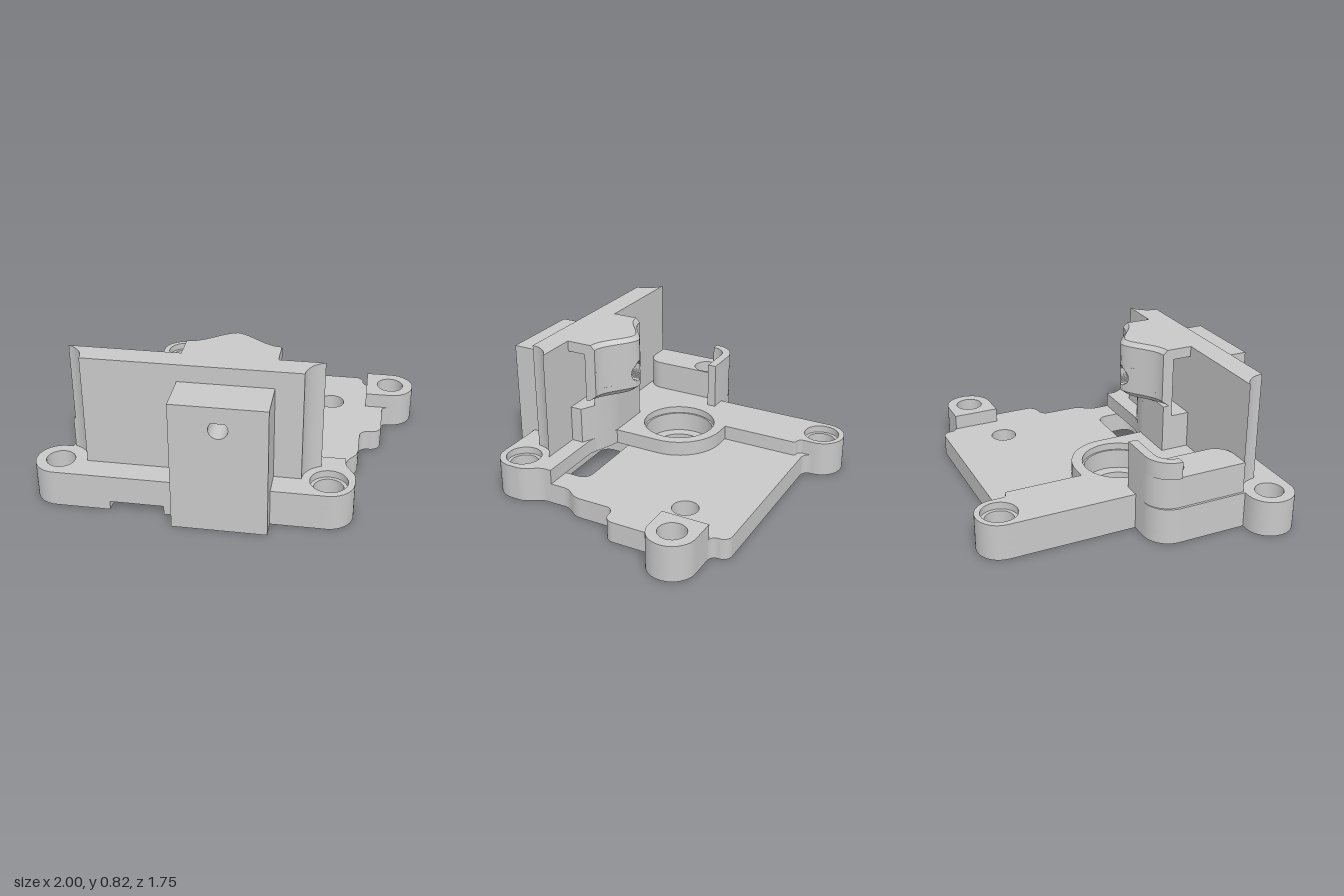
import * as THREE from 'three';
import { toCreasedNormals } from 'three/addons/utils/BufferGeometryUtils.js';

const grey = new THREE.MeshStandardMaterial({ color: 0xc8c8c8 });
grey.name = 'machined grey';

// Turns corners [x, z, radius] into a smooth list of plan points.
function rounded(corners) {
  const out = [];
  const n = corners.length;
  corners.forEach(([x, z, r = 0], i) => {
    const p = new THREE.Vector2(x, z);
    if (!r) return out.push(p);
    const a = corners[(i + n - 1) % n], b = corners[(i + 1) % n];
    const u = new THREE.Vector2(a[0], a[1]).sub(p).normalize();
    const v = new THREE.Vector2(b[0], b[1]).sub(p).normalize();
    const half = Math.acos(u.dot(v)) / 2;
    const t = r / Math.tan(half);
    const c = u.clone().add(v).normalize().multiplyScalar(r / Math.sin(half)).add(p);
    const s = u.clone().multiplyScalar(t).add(p).sub(c);
    const e = v.clone().multiplyScalar(t).add(p).sub(c);
    const a0 = Math.atan2(s.y, s.x);
    let d = Math.atan2(e.y, e.x) - a0;
    if (d > Math.PI) d -= 2 * Math.PI;
    if (d < -Math.PI) d += 2 * Math.PI;
    for (let k = 0; k <= 12; k++) {
      const w = a0 + d * k / 12;
      out.push(new THREE.Vector2(c.x + r * Math.cos(w), c.y + r * Math.sin(w)));
    }
  });
  return out;
}

const circle = (x, z, r) => Array.from({ length: 40 }, (_, i) => {
  const a = i / 40 * Math.PI * 2;
  return new THREE.Vector2(x + r * Math.cos(a), z + r * Math.sin(a));
});

// Plan points to shape points, wound so that outlines and holes face opposite ways
const wind = (pts, clockwise) => {
  const out = pts.map(p => new THREE.Vector2(p.x, -p.y));
  return THREE.ShapeUtils.isClockWise(out) === clockwise ? out : out.reverse();
};

export function createModel() {
  const model = new THREE.Group();

  const add = (name, geo) => {
    const mesh = new THREE.Mesh(toCreasedNormals(geo, 0.5), grey);
    mesh.name = name;
    model.add(mesh);
  };

  // Plan outline extruded upward from y0 to y1, optionally bent by a rule.
  const slab = (name, pts, y0, y1, holes = [], rule) => {
    const shape = new THREE.Shape(wind(pts, false));
    shape.holes = holes.map(h => new THREE.Path(wind(h, true)));
    const geo = new THREE.ExtrudeGeometry(shape, { depth: y1 - y0, bevelEnabled: false });
    geo.rotateX(-Math.PI / 2).translate(0, y0, 0);
    if (rule) {
      const p = geo.attributes.position;
      for (let i = 0; i < p.count; i++) p.setZ(i, rule(p.getY(i), p.getZ(i)));
    }
    add(name, geo);
  };

  const box = (name, x0, x1, y0, y1, z0, z1) => {
    const geo = new THREE.BoxGeometry(x1 - x0, y1 - y0, z1 - z0);
    add(name, geo.translate((x0 + x1) / 2, (y0 + y1) / 2, (z0 + z1) / 2));
  };

  // Shared stretches of the base outline
  const rearLug = [[-0.608, -0.873, 0.13], [-0.343, -0.873, 0.13]];
  const rightEdge = [[-0.343, -0.69, 0.05], [0.70, -0.69, 0.05], [0.70, -0.594, 0.04],
    [1, -0.594, 0.132], [1, -0.327, 0.132], [0.825, -0.327, 0.035], [0.825, -0.03, 0.06],
    [0.705, -0.03, 0.05], [0.705, 0.22, 0.12], [0.645, 0.30, 0.1]];
  const frontRight = [[0.645, 0.47, 0.1], [0.705, 0.57, 0.1], [0.705, 0.777, 0.134]];
  const notch = [[-0.28, 0.777], [-0.28, 0.60, 0.14], [-0.57, 0.60, 0.14], [-0.57, 0.777]];
  const leftEdge = [[-1, 0.777, 0.132], [-1, 0.509, 0.132], [-0.838, 0.509],
    [-0.838, -0.025, 0.14], [-0.608, -0.025]];

  // Holes
  const rearHole = r => circle(-0.475, -0.743, r);
  const sideHole = circle(0.865, -0.46, 0.077);
  const rightHole = r => circle(0.57, 0.642, r);
  const leftHole = circle(-0.867, 0.642, 0.078);
  const shaftHole = r => circle(-0.22, 0.07, r);
  const cornerHole = r => circle(-0.695, 0.12, r);
  const slot = rounded([[-0.05, 0.27, 0.06], [0.5, 0.27, 0.06], [0.5, 0.5, 0.06], [-0.05, 0.5, 0.06]]);
  const lowHoles = [rearHole(0.08), sideHole, rightHole(0.08), leftHole, cornerHole(0.12),
    circle(0.52, -0.355, 0.073), slot];

  // Base plate, with a shallow notch under the front edge
  const plate = rounded([...rearLug, ...rightEdge, ...frontRight, ...leftEdge]);
  const notched = rounded([...rearLug, ...rightEdge, ...frontRight, ...notch, ...leftEdge]);
  slab('basePlateBottom', notched, 0, 0.05, [...lowHoles, shaftHole(0.14)]);
  slab('basePlate', plate, 0.05, 0.12, [...lowHoles, shaftHole(0.2)]);

  // Raised half of the base with the bearing ring and counterbored lugs
  const raised = rounded([...rearLug, [-0.343, -0.65, 0.03], [-0.295, -0.65, 0.015], [-0.295, -0.2],
    [0.05, -0.2, 0.27], [0.05, 0.345], [0.24, 0.412], [0.645, 0.412],
    ...frontRight, ...leftEdge]);
  slab('raisedBase', raised, 0.12, 0.165,
    [rearHole(0.08), rightHole(0.08), leftHole, cornerHole(0.12), shaftHole(0.2)]);
  slab('raisedBaseTop', raised, 0.165, 0.205,
    [rearHole(0.1), rightHole(0.1), leftHole, cornerHole(0.077), shaftHole(0.21)]);

  // Side lug
  slab('sideLug', rounded([[0.725, -0.594], [1, -0.594, 0.132], [1, -0.327, 0.132], [0.725, -0.327]]),
    0.12, 0.205, [sideHole]);

  // Corner block with its upstanding lip
  slab('cornerBlock', rounded([[-0.608, -0.025], [-0.608, 0.505, 0.1], [-0.825, 0.505], [-0.825, -0.025, 0.14]]),
    0.205, 0.38, [cornerHole(0.077)]);
  slab('cornerLip', rounded([[-0.838, 0.12], [-0.838, -0.025, 0.144], [-0.515, -0.025],
    [-0.515, 0.025], [-0.79, 0.025, 0.094], [-0.79, 0.12]]), 0.38, 0.475);
  box('lipTab', -0.61, -0.515, 0.205, 0.38, -0.025, 0.025);

  // Upright wall, hollowed at both ends to clear the screws
  const wallEnd = (name, cx, x0, xIn) => {
    const pts = [new THREE.Vector2(xIn, 0.64), new THREE.Vector2(xIn, 0.507)];
    const a0 = Math.atan2(0.507 - 0.642, x0 - cx);
    const a1 = cx < 0 ? 0 : -Math.PI;
    for (let i = 0; i <= 12; i++) {
      const a = a0 + (a1 - a0) * i / 12;
      pts.push(new THREE.Vector2(cx + 0.144 * Math.cos(a), Math.min(0.64, 0.642 + 0.144 * Math.sin(a))));
    }
    slab(name, pts, 0.205, 0.82);
  };
  wallEnd('wallLeft', -0.865, -0.815, -0.22);
  wallEnd('wallRight', 0.57, 0.52, 0.28);
  box('wallTop', -0.22, 0.28, 0.725, 0.82, 0.507, 0.64);

  // Front block, with a teardrop bore from front to back
  const face = new THREE.Shape([[-0.22, 0], [0.28, 0], [0.28, 0.725], [-0.22, 0.725]]
    .map(p => new THREE.Vector2(...p)));
  const bore = new THREE.Path();
  bore.moveTo(0.03, 0.667);
  bore.absarc(0.03, 0.6, 0.05, Math.PI * 0.75, Math.PI * 2.25, false);
  bore.closePath();
  face.holes.push(bore);
  add('frontBlock', new THREE.ExtrudeGeometry(face, { depth: 0.366, bevelEnabled: false, curveSegments: 24 })
    .translate(0, 0, 0.507));

  // Plan of a jaw from z = back forward to a curved edge
  const jawPlan = (x0, x1, edge, back) => {
    const pts = [new THREE.Vector2(x1, back), new THREE.Vector2(x0, back)];
    for (let i = 0; i <= 24; i++) {
      const x = x0 + (x1 - x0) * i / 24;
      pts.push(new THREE.Vector2(x, edge(x)));
    }
    return pts;
  };

  // Upper jaw: wavy face, chamfered top and bottom, with the bore cut in thin layers
  const wave = x => 0.2 + 0.135 * Math.pow(Math.sin(Math.PI / 2 * Math.min(1, Math.abs(x - 0.03) / 0.25)), 1.6);
  const upperPlan = (x0, x1) => jawPlan(x0, x1, wave, 0.4);
  const chamfer = (edge, inset) => (y, z) =>
    Math.abs(y - edge) < 0.001 && z < 0.39 ? z + inset : z;
  slab('jawBottomChamfer', upperPlan(-0.22, 0.28), 0.48, 0.515, [], chamfer(0.48, 0.045));
  slab('jawLower', upperPlan(-0.22, 0.28), 0.515, 0.55);
  const layers = 14, step = 0.118 / layers;
  for (let i = 0; i < layers; i++) {
    const y0 = 0.55 + i * step;
    const dy = y0 + step / 2 - 0.6;
    const w = dy > 0.035 ? 0.07 - dy : Math.sqrt(0.0025 - dy * dy);
    slab('jawLeftOfBore', upperPlan(-0.22, 0.03 - w), y0, y0 + step);
    slab('jawRightOfBore', upperPlan(0.03 + w, 0.28), y0, y0 + step);
  }
  slab('jawUpper', upperPlan(-0.22, 0.28), 0.668, 0.795);
  slab('jawTopChamfer', upperPlan(-0.22, 0.28), 0.795, 0.82, [], chamfer(0.82, 0.025));

  // Bridge over the open nut slot
  box('jawBridge', -0.22, 0.28, 0.76, 0.82, 0.4, 0.507);

  // Lower jaw, its face curving back toward one side
  const sweep = x => 0.345 + 0.095 * Math.pow(Math.max(0, (x - 0.03) / 0.25), 1.5);
  slab('lowerJaw', jawPlan(-0.22, 0.28, sweep, 0.507), 0.12, 0.415);
  slab('lowerJawLip', jawPlan(-0.22, 0.2, sweep, 0.4), 0.415, 0.48);

  return model;
}
